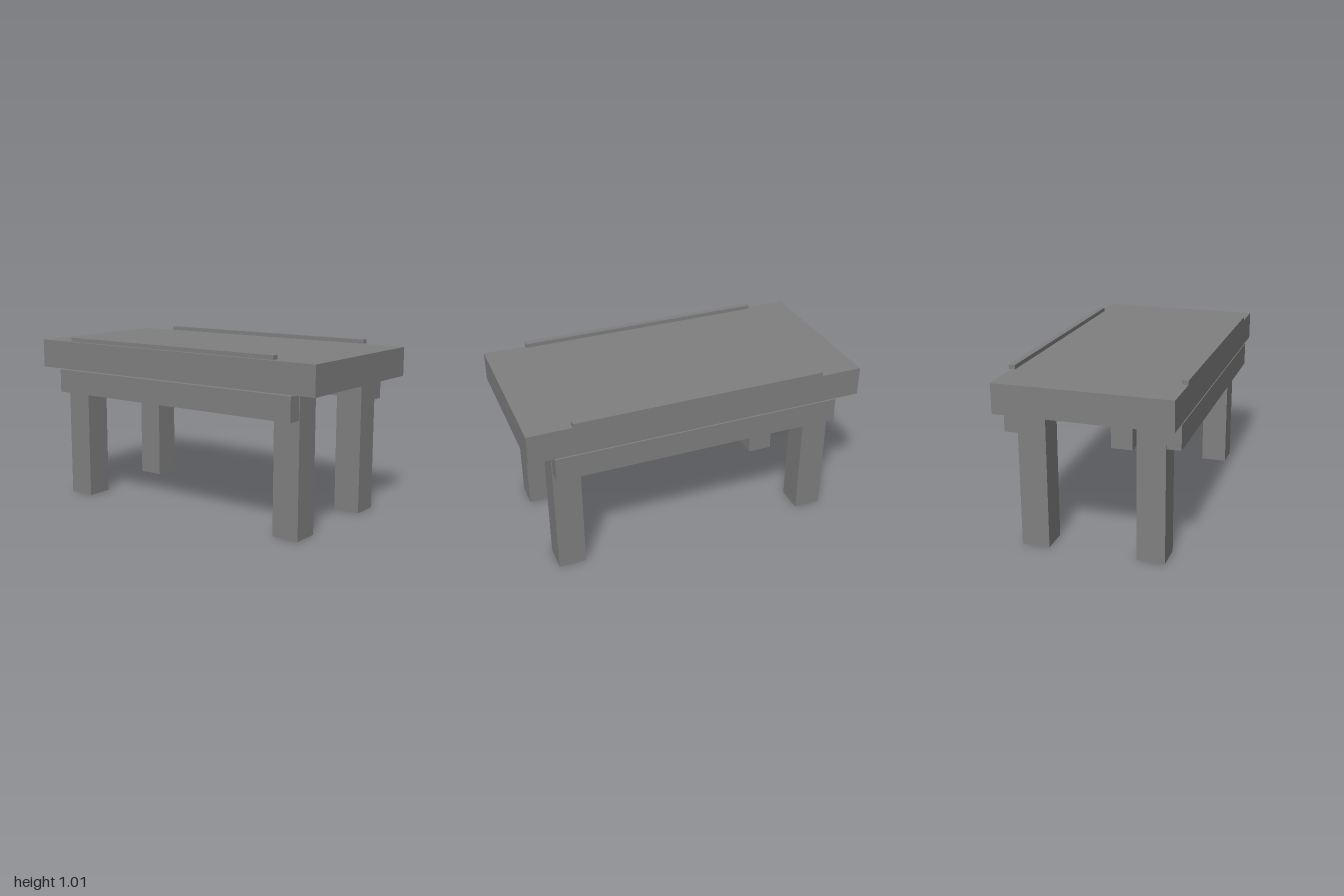
import * as THREE from 'three';

export function createModel() {
  const table = new THREE.Group();
  table.name = 'table';
  const grey = new THREE.MeshStandardMaterial({ color: 0x808080 });
  grey.name = 'grey';

  // Box given by its extents along each axis
  const box = (name, [x0, x1], [y0, y1], [z0, z1]) => {
    const mesh = new THREE.Mesh(new THREE.BoxGeometry(x1 - x0, y1 - y0, z1 - z0), grey);
    mesh.position.set((x0 + x1) / 2, (y0 + y1) / 2, (z0 + z1) / 2);
    mesh.name = name;
    table.add(mesh);
  };

  box('tableTop', [-1, 1], [0.813, 0.984], [-0.496, 0.5]);

  // Each long side: two legs, an apron outside them and a thin rail above the top
  const sides = [
    { name: 'front', leg: [0.258, 0.419], apron: [0.419, 0.5], rail: [0.468, 0.504] },
    { name: 'back', leg: [-0.415, -0.253], apron: [-0.496, -0.415], rail: [-0.504, -0.468] },
  ];
  for (const { name, leg, apron, rail } of sides) {
    box(name + 'RightLeg', [-0.86, -0.698], [0, 0.813], leg);
    box(name + 'LeftLeg', [0.696, 0.858], [0, 0.813], leg);
    box(name + 'Apron', [-0.855, 0.853], [0.665, 0.806], apron);
    box(name + 'Rail', [-0.746, 0.746], [0.988, 1.012], rail);
  }
  return table;
}
